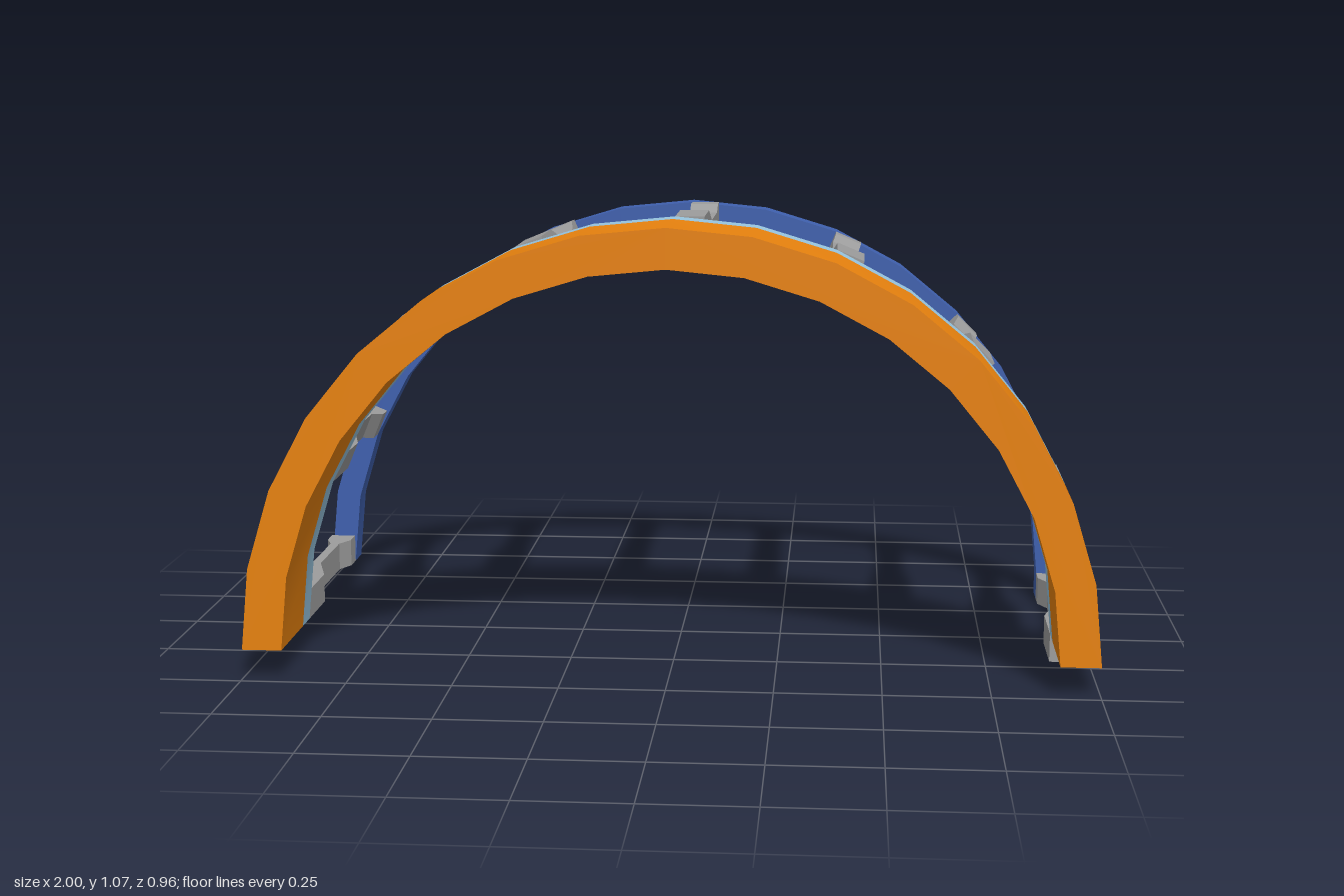
import * as THREE from 'three';
import { toCreasedNormals } from 'three/addons/utils/BufferGeometryUtils.js';

const HUB_Y = 0.07;   // height of the arch centre
const THICK = 0.07;   // tangential thickness of a bar
const SEGMENTS = 16;

function addMesh(parent, name, geometry, color) {
  const mesh = new THREE.Mesh(geometry, new THREE.MeshStandardMaterial({ color }));
  mesh.name = name;
  parent.add(mesh);
  return mesh;
}

// Half ring with straight-sided segments; "foot" lengthens the left end downwards
function archGeometry(inner, outer, zBack, zFront, foot = 0) {
  const points = [];
  const arc = (r, i) => {
    const a = (i / SEGMENTS) * Math.PI;
    points.push(new THREE.Vector2(r * Math.cos(a), r * Math.sin(a)));
  };
  if (foot) points.push(new THREE.Vector2(outer, -foot));
  for (let i = 0; i <= SEGMENTS; i++) arc(outer, i);
  for (let i = SEGMENTS; i >= 0; i--) arc(inner, i);
  if (foot) points.push(new THREE.Vector2(inner, -foot));
  const geometry = new THREE.ExtrudeGeometry(new THREE.Shape(points), {
    depth: zFront - zBack, bevelEnabled: false,
  });
  geometry.translate(0, 0, zBack);
  return toCreasedNormals(geometry, Math.PI / 6);
}

// Waisted bar: outline in radius and depth, extruded along the tangent
function barGeometry() {
  const sections = [ // z, inner radius, outer radius
    [0.2, 0.906, 1], [0.035, 0.906, 1], [-0.08, 0.942, 0.965],
    [-0.292, 0.942, 0.965], [-0.335, 0.92, 0.983], [-0.388, 0.92, 0.983],
  ];
  const outline = [
    ...sections.map(([z, , r]) => new THREE.Vector2(r, -z)),
    ...sections.map(([z, r]) => new THREE.Vector2(r, -z)).reverse(),
  ];
  const geometry = new THREE.ExtrudeGeometry(new THREE.Shape(outline), {
    depth: THICK, bevelEnabled: false,
  });
  geometry.rotateX(-Math.PI / 2);
  geometry.translate(0, -THICK, 0);
  return geometry;
}

export function createModel() {
  const model = new THREE.Group();
  model.name = 'ribbedArch';
  const arch = new THREE.Group();
  arch.name = 'archAssembly';
  arch.position.y = HUB_Y;
  model.add(arch);

  // Three arches from front to back
  addMesh(arch, 'frontArch', archGeometry(0.906, 1, 0.268, 0.48), 0xe8820e);
  addMesh(arch, 'middleArch', archGeometry(0.906, 1, 0.2, 0.268), 0x98c5df);
  addMesh(arch, 'rearArch', archGeometry(0.92, 0.983, -0.458, -0.388, THICK), 0x3f60ae);

  // Nine bars fanned around the half circle
  const bar = barGeometry();
  for (let i = 0; i <= 8; i++) {
    addMesh(arch, `bar${i + 1}`, bar, 0x9c9c9c).rotation.z = (i / 8) * Math.PI;
  }

  // Small pegs on the back of both ends
  const peg = new THREE.CylinderGeometry(0.017, 0.017, 0.03, 16).rotateX(Math.PI / 2);
  addMesh(arch, 'leftPeg', peg, 0xcccccc).position.set(0.951, -THICK / 2, -0.465);
  addMesh(arch, 'rightPeg', peg, 0x98c5df).position.set(-0.951, THICK / 2, -0.465);

  return model;
}
